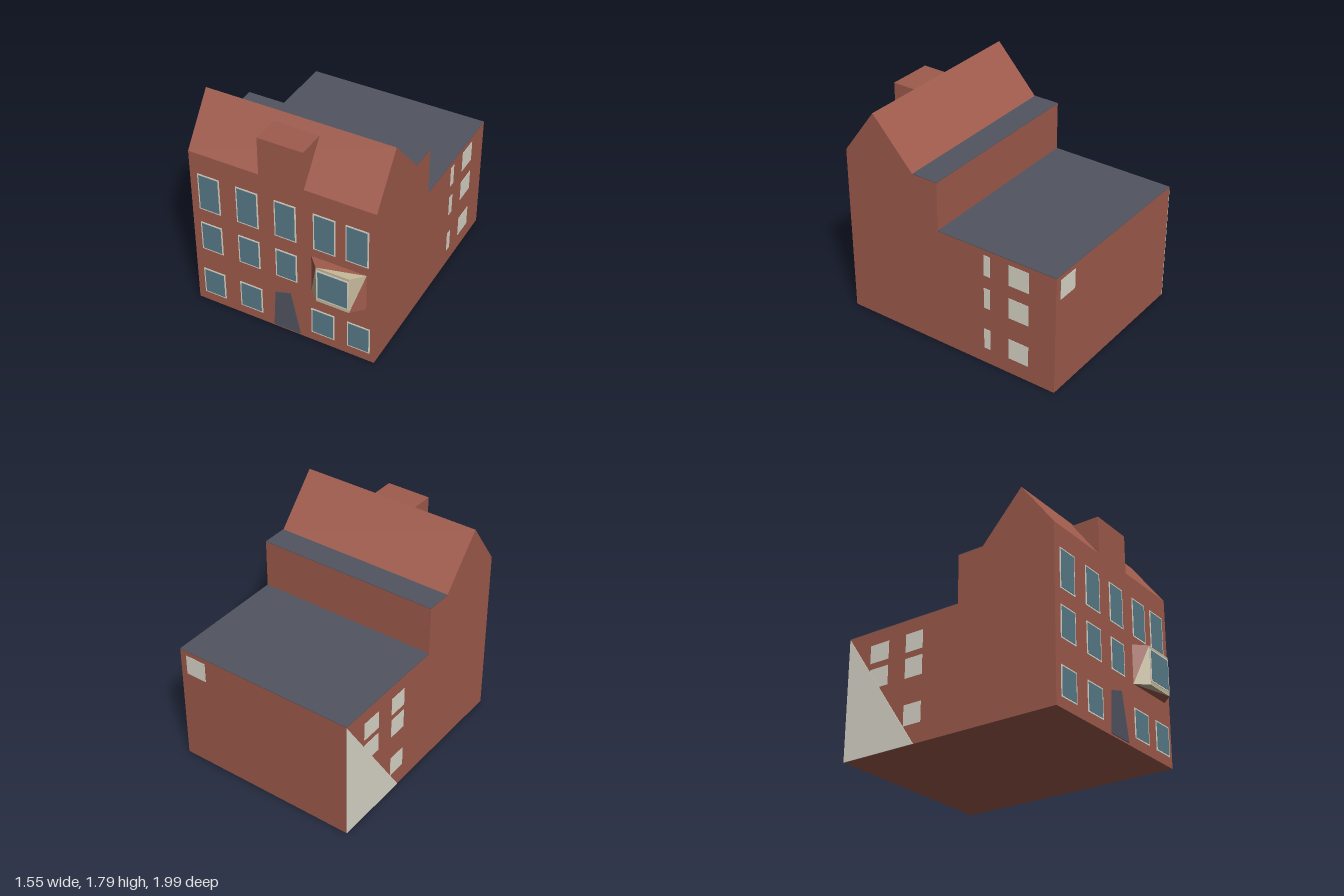
import * as THREE from 'three';

export function createModel() {
  const model = new THREE.Group();
  model.name = 'townHouse';

  const material = (name, color, side = THREE.FrontSide) => {
    const m = new THREE.MeshStandardMaterial({ color, side });
    m.name = name;
    return m;
  };
  const brick = material('brick', 0x9f5b4c, THREE.DoubleSide);
  const slate = material('slate', 0x515561);
  const glass = material('glass', 0x587b89);
  const cream = material('cream', 0xdcd8cb);
  const stone = material('stone', 0xc6b99b, THREE.DoubleSide);

  const FRONT = 0.89, HALF = 0.765, T = 0.006;
  // the whole plan leans very slightly sideways towards the back
  const lean = new THREE.Matrix4().makeShear(0, 0, 0, 0, 0.0079, 0).setPosition(-0.002, 0, 0);

  function add(name, geometry, mat, leaning = false) {
    if (leaning) geometry.applyMatrix4(lean);
    const mesh = new THREE.Mesh(geometry, mat);
    mesh.name = name;
    model.add(mesh);
    return mesh;
  }
  const box = (x0, x1, y0, y1, z0, z1) =>
    new THREE.BoxGeometry(x1 - x0, y1 - y0, z1 - z0)
      .translate((x0 + x1) / 2, (y0 + y1) / 2, (z0 + z1) / 2);
  const shape = (pts) => new THREE.Shape(pts.map(([a, b]) => new THREE.Vector2(a, b)));
  // side profile given as (z, y), stretched across x0..x1
  const profile = (pts, x0, x1) =>
    new THREE.ExtrudeGeometry(shape(pts), { depth: x1 - x0, bevelEnabled: false })
      .rotateY(-Math.PI / 2).translate(x1, 0, 0);

  // main body: gabled front block with a lower rear block
  add('walls', profile([
    [-1, 0], [FRONT, 0], [FRONT, 1.41], [0.61, 1.795], [0.26, 1.41],
    [0.04, 1.41], [0.04, 1.005], [-1, 1.005],
  ], -HALF, HALF), brick, true);
  add('dormer', profile([[FRONT, 1.41], [FRONT, 1.73], [0.66, 1.73]], -0.17, 0.2), brick);

  // flat roofs
  add('rearRoof', box(-HALF, HALF, 1.004, 1.009, -1, 0.04), slate, true);
  add('upperRoof', box(-HALF, HALF, 1.409, 1.414, 0.04, 0.258), slate, true);

  // front windows: thin frame with a glass pane
  function frontWindow(x0, x1, y0, y1, z = FRONT) {
    const e = 0.011;
    add('windowFrame', box(x0, x1, y0, y1, z - 0.001, z + 0.004), cream);
    add('windowPane', box(x0 + e, x1 - e, y0 + e, y1 - e, z, z + T), glass);
  }
  const rows = [
    { y: [0.08, 0.32], xs: [[-0.7, -0.51], [-0.375, -0.18], [0.245, 0.44], [0.545, 0.735]] },
    { y: [0.52, 0.78], xs: [[-0.695, -0.51], [-0.37, -0.185], [-0.05, 0.13]] },
    { y: [0.905, 1.23], xs: [[-0.695, -0.51], [-0.37, -0.185], [-0.05, 0.13], [0.27, 0.45], [0.53, 0.715]] },
  ];
  for (const { y, xs } of rows) for (const x of xs) frontWindow(...x, ...y);

  // crooked front door
  add('door', new THREE.ExtrudeGeometry(
    shape([[-0.08, 0.015], [0.15, 0.015], [0.07, 0.39], [-0.06, 0.35]]),
    { depth: T, bevelEnabled: false }).translate(0, 0, FRONT), slate);

  // bay window: tapered box whose slanted faces are half stone, half brick
  const corner = (x, y, z) => [x, y, z];
  const [b, t, w, f] = [0.51, 0.83, FRONT, 0.985];
  const wl = [corner(0.25, b, w), corner(0.25, t, w)], wr = [corner(0.7, b, w), corner(0.7, t, w)];
  const fl = [corner(0.34, b, f), corner(0.34, t, f)], fr = [corner(0.61, b, f), corner(0.61, t, f)];
  const facets = (list) => {
    const g = new THREE.BufferGeometry();
    g.setAttribute('position', new THREE.Float32BufferAttribute(list.flat(2), 3));
    g.computeVertexNormals();
    return g;
  };
  add('bayStone', facets([
    [fl[0], fr[0], fr[1]], [fl[0], fr[1], fl[1]],
    [fr[0], wr[1], fr[1]], [wl[0], fl[0], fl[1]],
    [fl[1], fr[1], wr[1]], [wl[0], fr[0], fl[0]],
  ]), stone);
  add('bayBrick', facets([
    [fr[0], wr[0], wr[1]], [wl[0], fl[1], wl[1]],
    [wl[1], fl[1], wr[1]], [wl[0], wr[0], fr[0]],
  ]), brick);
  frontWindow(0.345, 0.608, 0.54, 0.807, f);

  // blank panels on the left side wall
  for (const [y0, y1] of [[0.135, 0.31], [0.5, 0.675], [0.785, 0.96]])
    for (const [z0, z1] of [[-0.43, -0.375], [-0.77, -0.595]])
      add('sidePanel', box(HALF - 0.001, HALF + 0.003, y0, y1, z0, z1), cream, true);

  // blank panels and plaster patch on the right side wall
  for (const [y0, y1] of [[0.155, 0.32], [0.53, 0.69], [0.74, 0.89]])
    for (const [z0, z1] of [[-0.44, -0.28], [-0.785, -0.607]])
      add('sidePanel', box(-HALF - 0.003, -HALF + 0.001, y0, y1, z0, z1), cream, true);
  add('plasterPatch', profile([[-1, 0], [-0.34, 0], [-1, 1.0]], -HALF - 0.005, -HALF + 0.001), cream, true);

  // blank panel on the back wall
  add('backPanel', box(0.52, 0.7, 0.8, 0.965, -1.003, -0.999), cream);

  return model;
}
